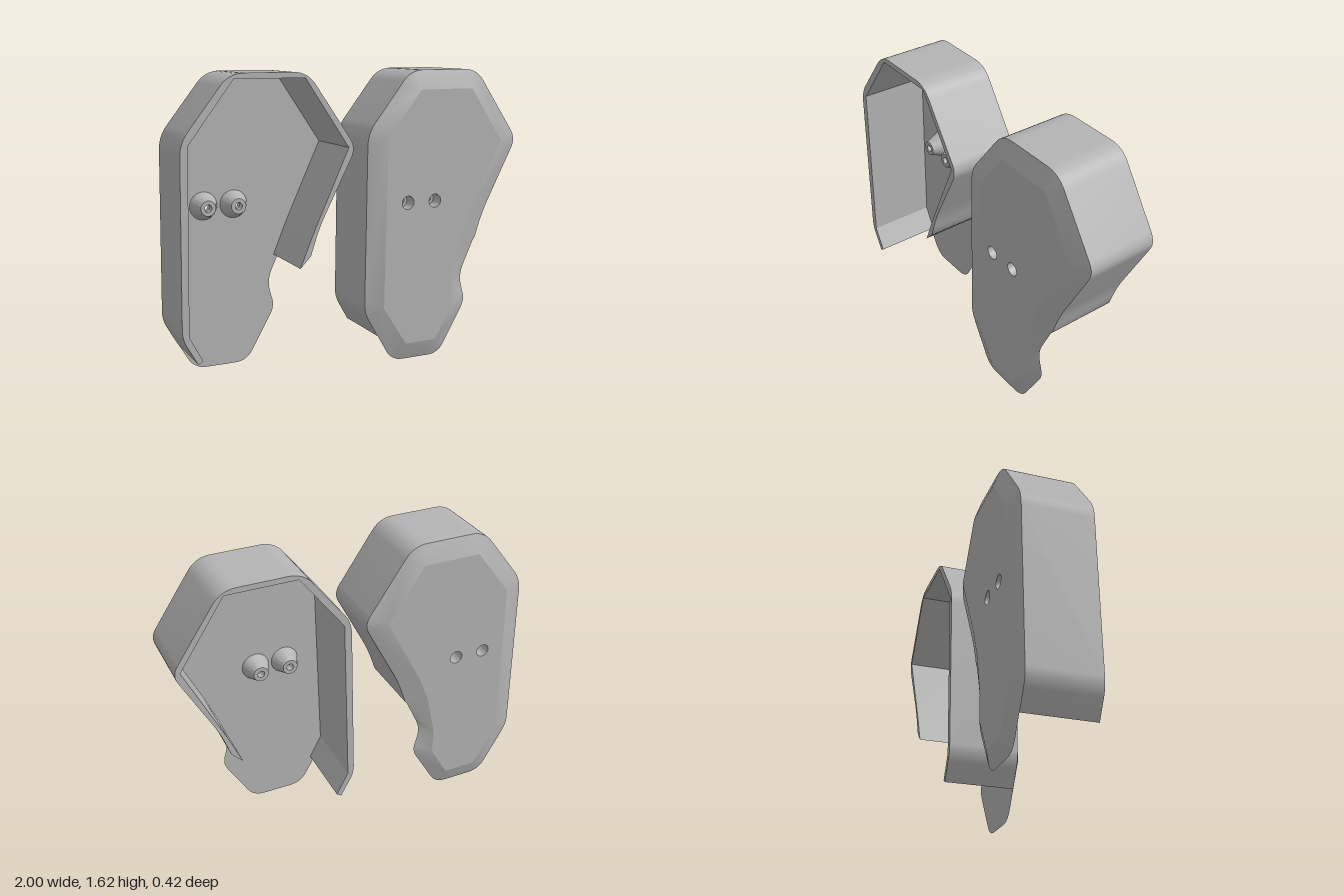
import * as THREE from 'three';
import { toCreasedNormals } from 'three/addons/utils/BufferGeometryUtils.js';

const FACE = 0.212, FLOOR = 0.175, RIM = -0.212;
const SHIFT = 1.045; // spacing between the two half shells
const BORES = [[0.29, 0.905], [0.46, 0.905]];
const BORE_R = 0.037;

// Cover outline: x, y, corner cut length, then the matching corner of the raised flat face
const COVER = [
  [0.215, 0, 0.07, 0.285, 0.1], [0.52, 0, 0.07, 0.475, 0.1],
  [0.692, 0.3, 0.05, 0.58, 0.285], [0.648, 0.45, 0.07, 0.575, 0.42],
  [0.745, 0.66, 0.03, 0.625, 0.66], [0.8, 0.81, 0.08, 0.69, 0.83],
  [1.015, 1.225, 0.06, 0.89, 1.22], [0.74, 1.625, 0.08, 0.69, 1.52],
  [0.32, 1.625, 0.08, 0.365, 1.52], [0.06, 1.29, 0.07, 0.165, 1.26],
  [0.043, 0.3, 0.05, 0.145, 0.32],
];

// Side wall: outer line, then back along the inner line
const WALL = [
  [0.123, 0.157, 0], [0.149, 0.174, 0], [0.08, 0.305, 0], [0.1, 1.275, 0],
  [0.342, 1.595, 0], [0.727, 1.595, 0], [0.973, 1.227, 0], [0.77, 0.79, 0.05],
  [0.69, 0.6, 0], [0.735, 0.645, 0], [0.752, 0.665, 0], [0.8, 0.81, 0.08],
  [1.015, 1.225, 0.06], [0.74, 1.625, 0.08], [0.32, 1.625, 0.08],
  [0.06, 1.29, 0.07], [0.043, 0.3, 0.05],
];

// Round the corners of a closed outline; each point remembers its corner
function rounded(corners) {
  const out = [];
  corners.forEach(([x, y, cut], i) => {
    const p = new THREE.Vector2(x, y);
    const n = corners.length;
    if (!cut) { out.push({ p, i }); return; }
    const toward = (q) => new THREE.Vector2(q[0], q[1]).sub(p).setLength(cut).add(p);
    const arc = new THREE.QuadraticBezierCurve(
      toward(corners[(i + n - 1) % n]), p, toward(corners[(i + 1) % n]));
    arc.getPoints(8).forEach((q) => out.push({ p: q, i }));
  });
  return out;
}

function boredFace(points, z) {
  const shape = new THREE.Shape(points);
  for (const [x, y] of BORES) {
    shape.holes.push(new THREE.Path().absarc(x, y, BORE_R, 0, Math.PI * 2, true));
  }
  return new THREE.ShapeGeometry(shape, 16).translate(0, 0, z);
}

// Reverse the facing of a non-indexed geometry
function flip(geo) {
  const g = geo.index ? geo.toNonIndexed() : geo;
  for (const attr of [g.attributes.position, g.attributes.normal]) {
    const a = attr.array;
    for (let i = 0; i < a.length; i += 9) {
      for (let k = 0; k < 3; k++) {
        [a[i + 3 + k], a[i + 6 + k]] = [a[i + 6 + k], a[i + 3 + k]];
      }
    }
  }
  return g;
}

// Sloping border from the outline up to the flat face
function bevelGeometry(ring) {
  const pos = [];
  const top = ({ i }) => [COVER[i][3], COVER[i][4], FACE];
  const low = ({ p }) => [p.x, p.y, FLOOR];
  ring.forEach((a, k) => {
    const b = ring[(k + 1) % ring.length];
    pos.push(...low(a), ...low(b), ...top(a));
    if (a.i !== b.i) pos.push(...low(b), ...top(b), ...top(a));
  });
  const g = new THREE.BufferGeometry();
  g.setAttribute('position', new THREE.Float32BufferAttribute(pos, 3));
  return toCreasedNormals(g, 0.4);
}

// Tapered screw boss with a stepped bore
function bossGeometry([x, y]) {
  const profile = [
    [0.02, 0.085], [0.042, 0.085], [0.077, FLOOR], [BORE_R, FACE],
    [BORE_R, 0.13], [0.02, 0.13], [0.02, 0.085],
  ].map(([r, z]) => new THREE.Vector2(r, z));
  const g = new THREE.LatheGeometry(profile, 32).rotateX(Math.PI / 2).translate(x, y, 0);
  return toCreasedNormals(g, 0.4);
}

export function createModel() {
  const grey = new THREE.MeshStandardMaterial({ color: 0xb4b4b4 });
  grey.name = 'plainGrey';

  const ring = rounded(COVER);
  const wallShape = new THREE.Shape(rounded(WALL).map(({ p }) => p));
  const wall = new THREE.ExtrudeGeometry(wallShape, {
    depth: FLOOR - RIM, bevelEnabled: false,
  }).translate(0, 0, RIM);

  const parts = {
    coverFace: boredFace(COVER.map((c) => new THREE.Vector2(c[3], c[4])), FACE),
    coverBevel: bevelGeometry(ring),
    coverInside: flip(boredFace(ring.map(({ p }) => p), FLOOR)),
    sideWall: toCreasedNormals(wall, 0.4),
    innerBoss: bossGeometry(BORES[0]),
    outerBoss: bossGeometry(BORES[1]),
  };

  const model = new THREE.Group();
  model.name = 'twoPartHousing';
  const frontShell = new THREE.Group();
  frontShell.name = 'frontShell';
  const backShell = new THREE.Group();
  backShell.name = 'backShell';
  model.add(frontShell, backShell);

  for (const [name, geo] of Object.entries(parts)) {
    const front = new THREE.Mesh(geo, grey);
    front.name = name;
    frontShell.add(front);
    // The back half is the same outline mirrored in depth
    const back = new THREE.Mesh(flip(geo.clone().scale(1, 1, -1)), grey);
    back.name = name;
    back.position.x = -SHIFT;
    backShell.add(back);
  }
  return model;
}
